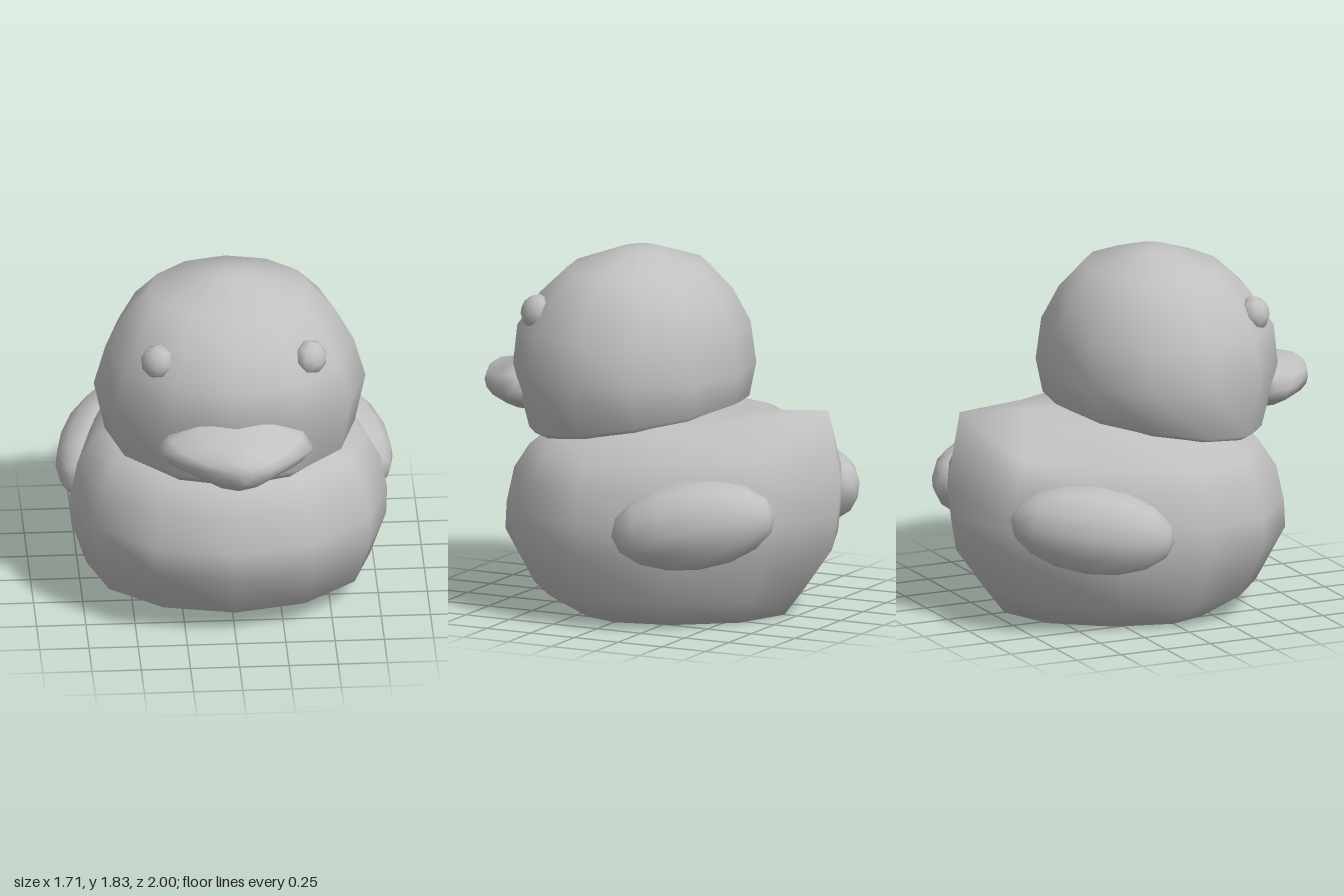
import * as THREE from 'three';

const SEGMENTS = 12;

// Skin closed rings of points, with a centre point closing each end
function loft(rings, start, end) {
  const n = SEGMENTS, points = [...rings.flat(), start, end], index = [];
  const first = rings.length * n, last = first + 1;
  for (let j = 0; j < n; j++) {
    const k = (j + 1) % n, top = (rings.length - 1) * n;
    for (let i = 0; i < rings.length - 1; i++) {
      const a = i * n + j, b = i * n + k;
      index.push(a, b, a + n, b, b + n, a + n);
    }
    index.push(first, k, j, last, top + j, top + k);
  }
  const geometry = new THREE.BufferGeometry();
  geometry.setAttribute('position', new THREE.Float32BufferAttribute(points.flat(), 3));
  geometry.setIndex(index);
  geometry.computeVertexNormals();
  return geometry;
}

const ringOf = (fn) => Array.from({ length: SEGMENTS }, (_, j) => fn(j / SEGMENTS * Math.PI * 2));

// Level ring: heights at front, side, rear flank and back; half width; front z, widest z, back z
function levelRing([yFront, ySide, yFlank, yBack], w, zf, zc, zb, backPower) {
  return ringOf((t) => {
    const c = Math.cos(t), back = Math.max(0, -c);
    let y = ySide + (yFront - ySide) * Math.max(0, c);
    if (back > 0.95) y = yBack;
    else if (back > 0) y = ySide + (yFlank - ySide) * back / 0.866;
    const z = c > 0 ? zc + (zf - zc) * c : zc - (zc - zb) * Math.pow(back, backPower);
    return [w * Math.sin(t), y, z];
  });
}
const flat = (y) => [y, y, y, y];

export function createModel() {
  const model = new THREE.Group();
  const grey = new THREE.MeshStandardMaterial({ color: 0xc0c0c0 });
  grey.name = 'plain grey';
  const add = (name, geometry) => {
    const mesh = new THREE.Mesh(geometry, grey);
    mesh.name = name;
    model.add(mesh);
    return mesh;
  };

  // Body, rising at the back into a pointed tail
  const body = [
    [flat(0), 0.57, 0.39, 0.0, -0.68, 1.2],
    [[0.12, 0.12, 0.13, 0.14], 0.72, 0.64, 0.05, -0.79, 1.2],
    [[0.39, 0.38, 0.37, 0.36], 0.80, 0.80, 0.1, -0.95, 1.25],
    [flat(0.53), 0.805, 0.79, 0.1, -0.98, 1.3],
    [flat(0.71), 0.77, 0.75, 0.1, -1.0, 1.35],
    [[0.83, 0.83, 0.88, 1.08], 0.70, 0.67, 0.1, -0.93, 1.4],
    [[0.88, 0.94, 1.02, 1.05], 0.57, 0.58, 0.1, -0.55, 1.2],
  ].map((r) => levelRing(...r));
  add('body', loft(body, [0, 0, -0.1], [0, 1.05, 0.05]));

  // Head, with its lower edge tilted down to the chin
  const head = [
    [[0.86, 0.93, 1.0, 1.03], 0.56, 0.66, 0.17, -0.33, 1],
    [[0.90, 0.96, 1.04, 1.06], 0.635, 0.68, 0.18, -0.39, 1],
    [[1.24, 1.22, 1.21, 1.21], 0.69, 0.77, 0.18, -0.42, 1],
    [flat(1.43), 0.63, 0.76, 0.18, -0.40, 1],
    [flat(1.6), 0.535, 0.64, 0.17, -0.31, 1],
    [flat(1.73), 0.41, 0.5, 0.16, -0.19, 1],
    [flat(1.82), 0.12, 0.25, 0.15, 0.04, 1],
  ].map((r) => levelRing(...r));
  add('head', loft(head, [0, 0.88, 0.17], [0, 1.83, 0.15]));

  // Beak: z, half width, top, bottom; pinched at the mouth corners
  const beak = [
    [0.58, 0.37, 1.25, 0.96],
    [0.67, 0.39, 1.28, 0.945],
    [0.74, 0.385, 1.27, 0.945],
    [0.82, 0.32, 1.2, 0.955],
    [0.94, 0.18, 1.18, 0.98],
    [0.985, 0.07, 1.15, 1.03],
  ].map(([z, w, top, bottom]) => ringOf((t) => {
    const s = Math.sin(t), h = Math.pow(Math.abs(s), 1.3);
    return [w * Math.cos(t), 1.1 + h * (s > 0 ? top - 1.1 : bottom - 1.1), z];
  }));
  add('beak', loft(beak, [0, 1.1, 0.58], [0, 1.1, 1.0]));

  for (const side of [1, -1]) {
    const label = side > 0 ? 'left' : 'right';

    // Eye: a low dome facing outward from the head
    const eye = add(label + 'Eye', new THREE.SphereGeometry(0.09, 8, 6).rotateX(Math.PI / 2));
    eye.scale.z = 0.8;
    eye.position.set(side * 0.39, 1.525, 0.54);
    eye.rotation.set(-0.35, side * 0.75, 0, 'YXZ');

    // Wing: a flattened ellipsoid following the flank
    const wing = add(label + 'Wing', new THREE.SphereGeometry(1, 12, 8).rotateX(Math.PI / 2));
    wing.scale.set(0.2, 0.23, 0.42);
    wing.position.set(side * 0.6, 0.55, -0.47);
    wing.rotation.set(0.14, side * 0.456, 0, 'YXZ');
  }
  return model;
}
